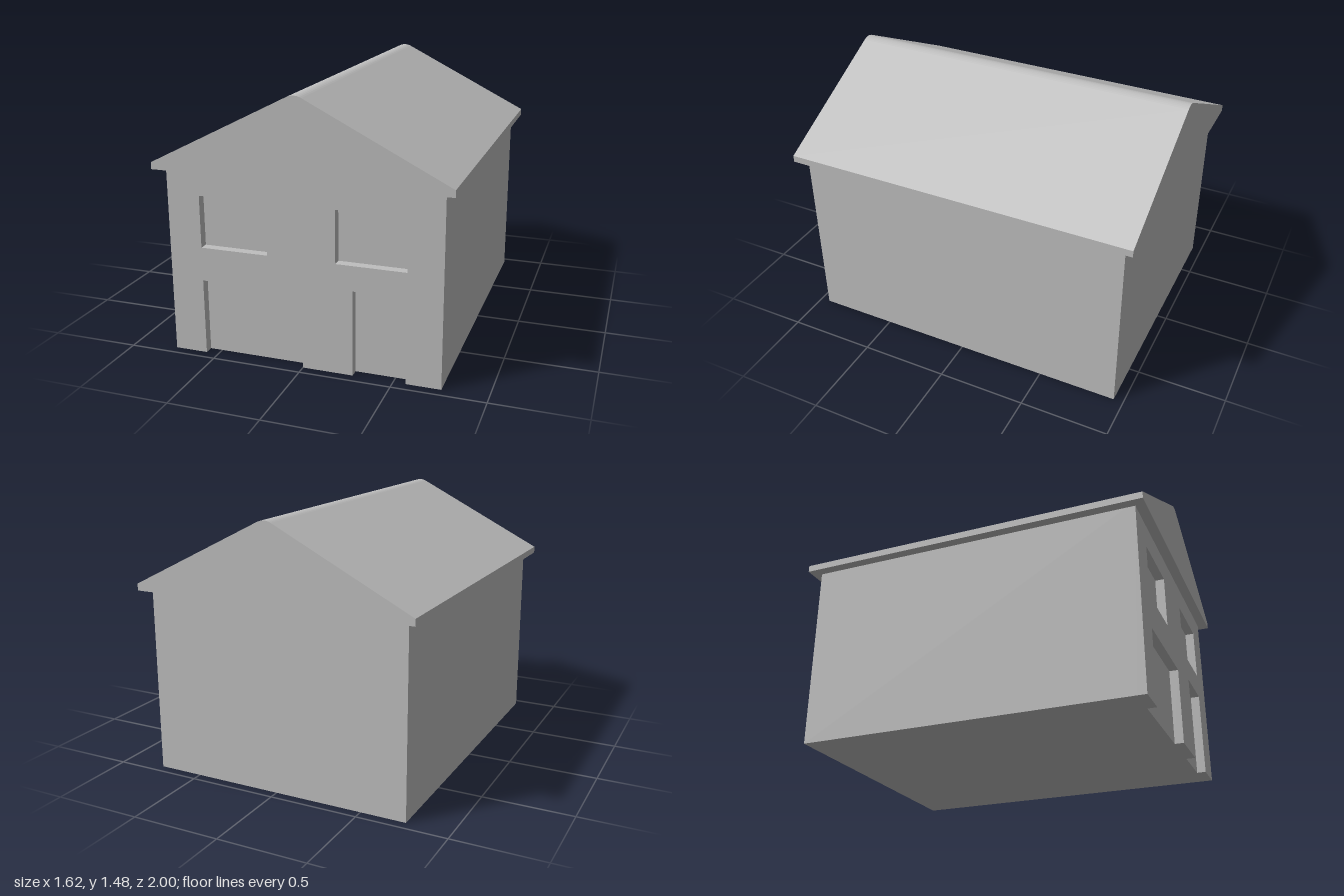
import * as THREE from 'three';

const WALL_X = 0.755, WALL_Z = 0.945, WALL_TOP = 1.04, RECESS = 0.05;

// Rectangle outline given by its corners
function rect(Kind, x0, y0, x1, y1) {
  const r = new Kind();
  r.moveTo(x0, y0);
  r.lineTo(x1, y0);
  r.lineTo(x1, y1);
  r.lineTo(x0, y1);
  r.closePath();
  return r;
}

export function createModel() {
  const house = new THREE.Group();
  house.name = 'house';
  const grey = new THREE.MeshStandardMaterial({ color: 0xbfbfbf });
  grey.name = 'plain grey';

  // Extrudes a shape from z0 to z1 as a named part
  function extrudePart(name, shape, z0, z1) {
    const geo = new THREE.ExtrudeGeometry(shape, { depth: z1 - z0, bevelEnabled: false, curveSegments: 8 });
    geo.translate(0, 0, z0);
    const mesh = new THREE.Mesh(geo, grey);
    mesh.name = name;
    house.add(mesh);
  }

  // Solid body; its front forms the back of the recesses
  extrudePart('body', rect(THREE.Shape, -WALL_X, 0, WALL_X, WALL_TOP), -WALL_Z, WALL_Z - RECESS);

  // Front wall: garage and door cut up from the ground
  const front = new THREE.Shape();
  front.moveTo(-WALL_X, 0);
  for (const [x0, x1, top] of [[-0.57, 0, 0.425], [0.28, 0.567, 0.475]]) {
    front.lineTo(x0, 0);
    front.lineTo(x0, top);
    front.lineTo(x1, top);
    front.lineTo(x1, 0);
  }
  front.lineTo(WALL_X, 0);
  front.lineTo(WALL_X, WALL_TOP);
  front.lineTo(-WALL_X, WALL_TOP);
  front.closePath();

  // Two window recesses
  for (const x of [-0.38, 0.378]) front.holes.push(rect(THREE.Path, x - 0.19, 0.613, x + 0.19, 0.902));
  extrudePart('frontWall', front, WALL_Z - RECESS, WALL_Z);

  // Gable roof with shallow eaves and a rounded ridge
  const gable = new THREE.Shape();
  gable.moveTo(-0.81, WALL_TOP);
  gable.lineTo(0.81, WALL_TOP);
  gable.lineTo(0.81, 1.078);
  gable.lineTo(0.04, 1.467);
  gable.quadraticCurveTo(0, 1.487, -0.04, 1.467);
  gable.lineTo(-0.81, 1.078);
  gable.closePath();
  extrudePart('roof', gable, -1, 1);

  return house;
}
